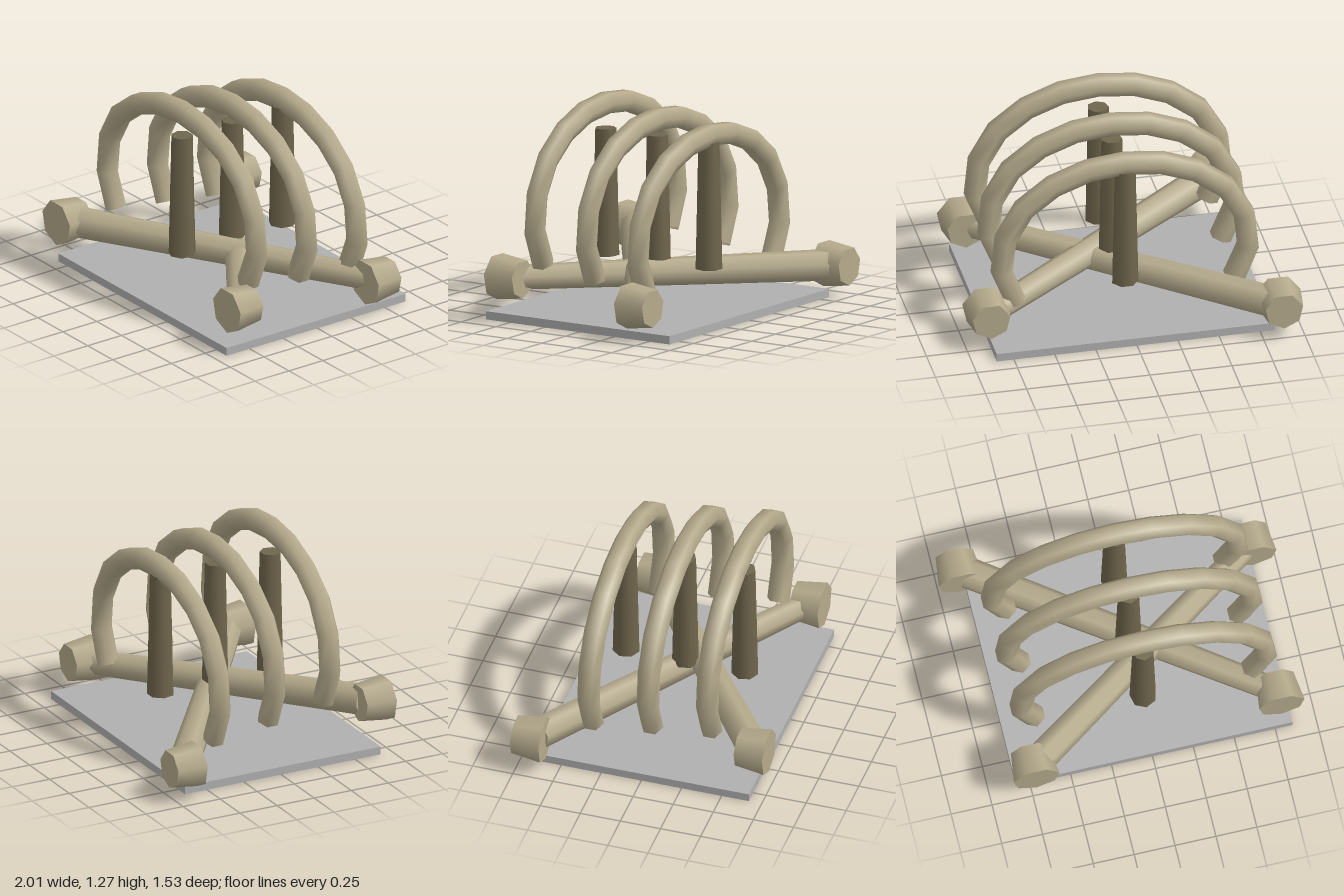
import * as THREE from 'three';

const bone = new THREE.MeshStandardMaterial({ color: 0xb5aa8c, side: THREE.DoubleSide });
bone.name = 'bone';
const darkBone = new THREE.MeshStandardMaterial({ color: 0x70664d });
darkBone.name = 'dark bone';
const stone = new THREE.MeshStandardMaterial({ color: 0xb0b0b0 });
stone.name = 'grey stone';

const SIDES = 7;

function add(parent, name, geometry, material, x = 0, y = 0, z = 0) {
  const mesh = new THREE.Mesh(geometry, material);
  mesh.name = name;
  mesh.position.set(x, y, z);
  parent.add(mesh);
  return mesh;
}

// Tapered shaft running from a to b
function shaft(parent, a, b, ra, rb) {
  const dir = b.clone().sub(a);
  const mid = a.clone().add(b).multiplyScalar(0.5);
  const mesh = add(parent, 'shaft', new THREE.CylinderGeometry(rb, ra, dir.length(), SIDES), bone, mid.x, mid.y, mid.z);
  mesh.quaternion.setFromUnitVectors(new THREE.Vector3(0, 1, 0), dir.normalize());
}

// Long bone with a blunt knuckle at each end
function longBone(name, a, b) {
  const group = new THREE.Group();
  group.name = name;
  const inset = b.clone().sub(a).normalize().multiplyScalar(0.06);
  shaft(group, a.clone().add(inset), b.clone().sub(inset), 0.097, 0.076);
  for (const p of [a, b]) {
    const knuckle = new THREE.CylinderGeometry(0.142, 0.117, 0.185, SIDES).rotateX(Math.PI / 2);
    add(group, 'knuckle', knuckle, bone, p.x, p.y, p.z);
  }
  return group;
}

export function createModel() {
  const model = new THREE.Group();
  model.name = 'boneCage';

  // Base slab
  add(model, 'slab', new THREE.BoxGeometry(1.69, 0.05, 1.32), stone, 0.01, 0.025, 0.01);

  // Crossed long bones
  const v = (x, y, z) => new THREE.Vector3(x, y, z);
  model.add(longBone('longBoneA', v(-0.73, 0.31, 0.67), v(0.86, 0.205, -0.44)));
  model.add(longBone('longBoneB', v(-0.87, 0.195, -0.68), v(0.8, 0.26, 0.535)));

  // Rib centreline: half profile from the top down, mirrored
  const half = [[0.232, 1.18], [0.44, 1.1], [0.62, 0.96], [0.727, 0.77], [0.75, 0.55], [0.663, 0.34]];
  const points = [
    ...half.map(([x, y]) => v(-x, y, 0)).reverse(),
    v(0, 1.206, 0),
    ...half.map(([x, y]) => v(x, y, 0)),
  ];
  const ribGeometry = new THREE.TubeGeometry(new THREE.CatmullRomCurve3(points), 12, 0.07, 6);

  // Three ribs, each lower toward the back, with an upright post under each
  const postGeometry = new THREE.CylinderGeometry(0.065, 0.082, 0.77, SIDES);
  for (let i = 0; i < 3; i++) {
    const z = 0.38 - i * 0.37;
    add(model, 'rib', ribGeometry, bone, 0.012, -0.055 * i, z);
    add(model, 'post', postGeometry, darkBone, 0.012, 0.67, z);
  }

  return model;
}
